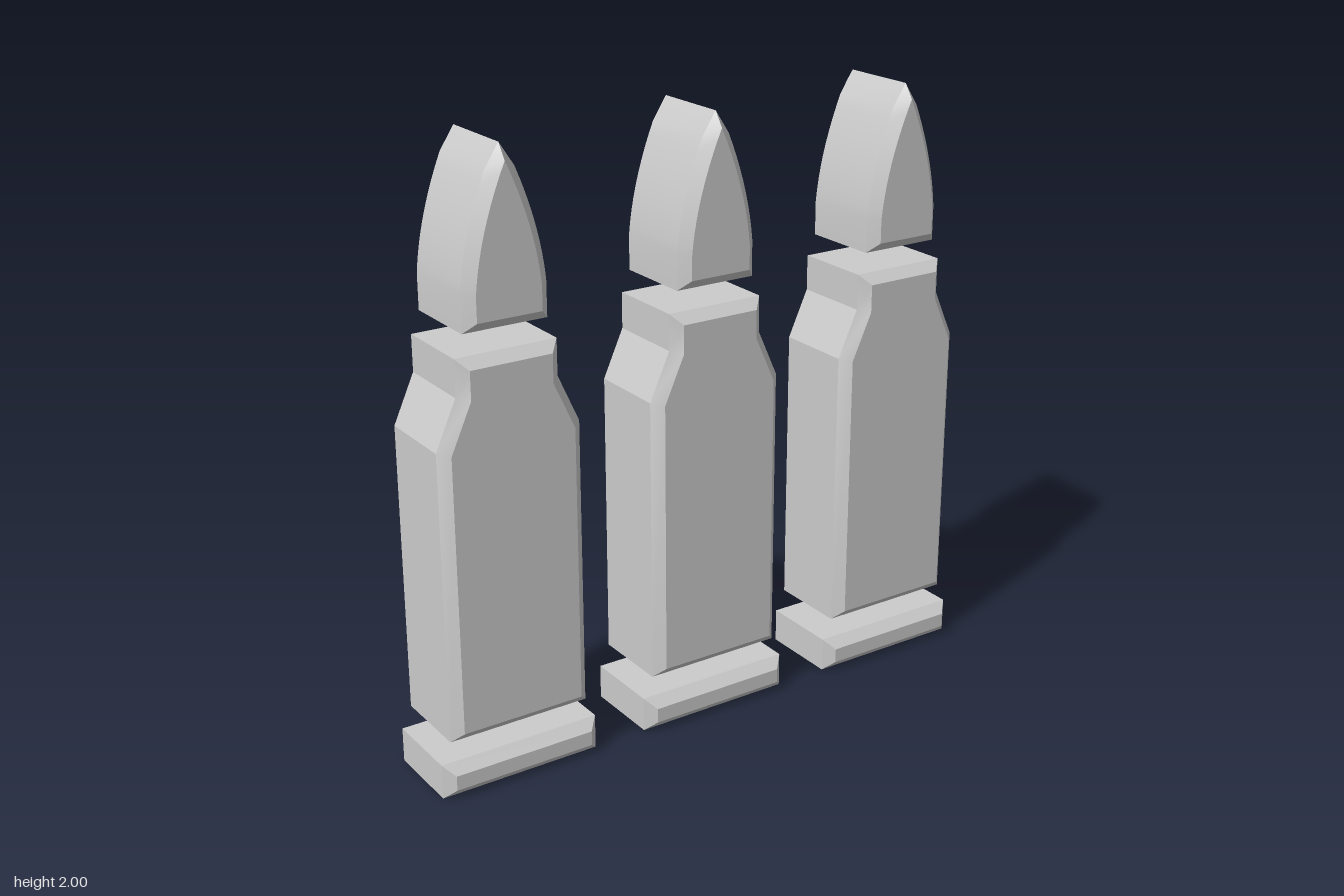
import * as THREE from 'three';
import { toCreasedNormals } from 'three/addons/utils/BufferGeometryUtils.js';

const BEVEL = 0.033;
const DEPTH = 0.267; // between the two chamfers
const SPACING = 0.728;
const material = new THREE.MeshStandardMaterial({ color: 0xcccccc });

// Slab with a single straight chamfer growing outward from the face outline
function slab(shape) {
  const geometry = new THREE.ExtrudeGeometry(shape, {
    depth: DEPTH,
    curveSegments: 10,
    bevelEnabled: true,
    bevelSegments: 1,
    bevelSize: BEVEL,
    bevelThickness: BEVEL,
  });
  geometry.translate(0, 0, -DEPTH / 2);
  return toCreasedNormals(geometry, 0.4);
}

// Symmetric outline from its right-hand points, listed bottom to top
function mirrored(points) {
  const left = points.map(([x, y]) => [-x, y]).reverse();
  return new THREE.Shape([...points, ...left].map(([x, y]) => new THREE.Vector2(x, y)));
}

// Pointed arch of the tip
function tipShape() {
  const shape = new THREE.Shape();
  shape.moveTo(-0.106, 1.501);
  shape.lineTo(0.106, 1.501);
  shape.lineTo(0.106, 1.58);
  shape.quadraticCurveTo(0.09, 1.757, 0, 1.954);
  shape.quadraticCurveTo(-0.09, 1.757, -0.106, 1.58);
  shape.closePath();
  return shape;
}

export function createModel() {
  const model = new THREE.Group();
  model.name = 'cartridgeRow';

  const parts = {
    rim: slab(mirrored([[0.239, 0.033], [0.239, 0.082]])),
    casing: slab(mirrored([[0.205, 0.218], [0.205, 1.12], [0.135, 1.275], [0.135, 1.367]])),
    tip: slab(tipShape()),
  };

  // Three identical cartridges side by side
  for (const [i, side] of ['right', 'middle', 'left'].entries()) {
    const cartridge = new THREE.Group();
    cartridge.name = `${side}Cartridge`;
    cartridge.position.x = (i - 1) * SPACING;
    for (const [name, geometry] of Object.entries(parts)) {
      const mesh = new THREE.Mesh(geometry, material);
      mesh.name = name;
      cartridge.add(mesh);
    }
    model.add(cartridge);
  }
  return model;
}
